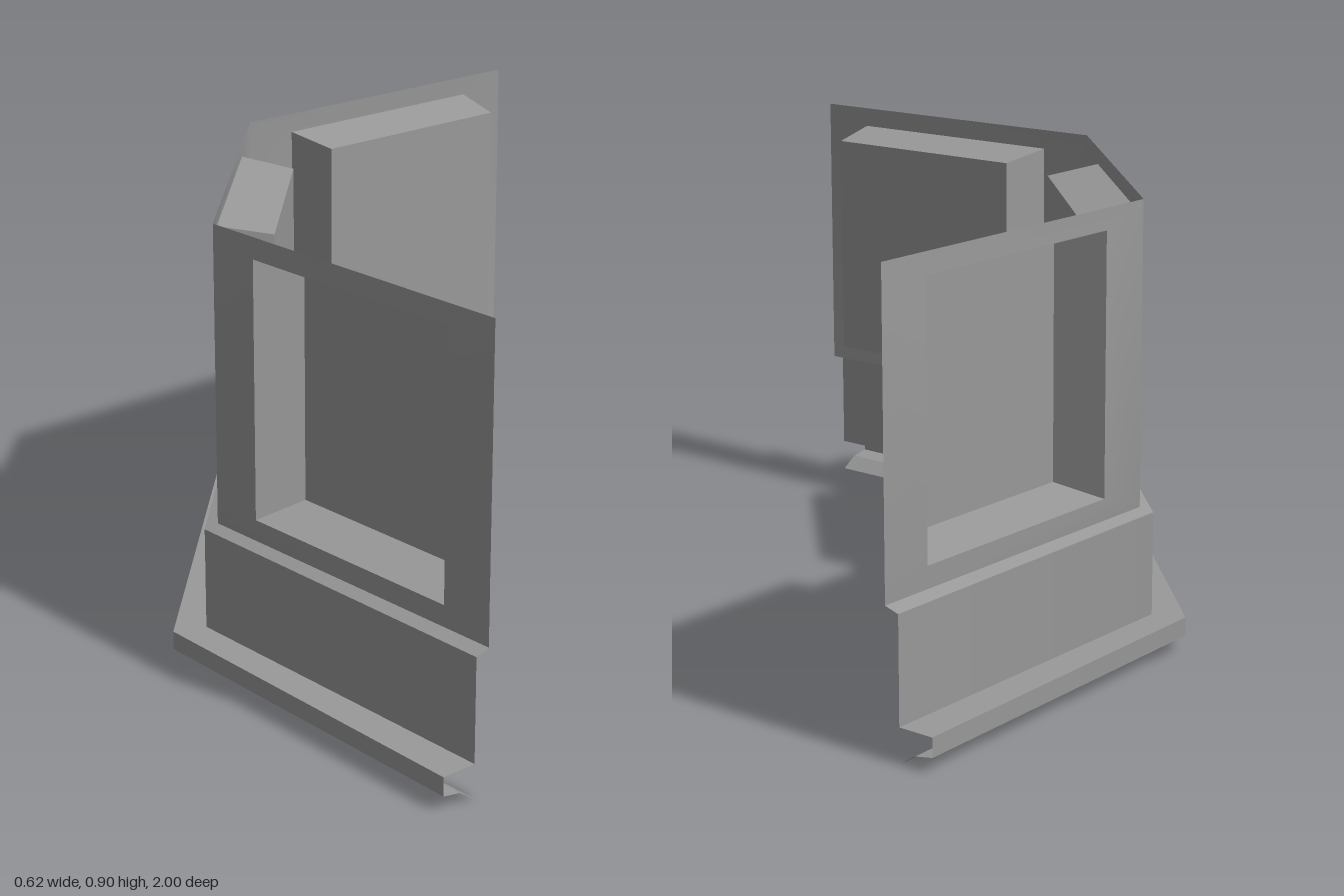
import * as THREE from 'three';

const material = new THREE.MeshStandardMaterial({ color: 0x999999, side: THREE.DoubleSide });

// Plan outline of the bay: four corners, pushed outward by d, at height y
function station(i, d, y) {
  const side = i < 2 ? 1 : -1;
  return i === 0 || i === 3
    ? new THREE.Vector3(0.308 - 0.85 * d, y, side * (0.928 + 0.85 * d))
    : new THREE.Vector3(-0.225 - d, y, side * (0.39 + 0.41 * d));
}

// Mesh from shared points and quads; each normal is the mean of its quads' normals
function sheet(name, points, quads) {
  const normals = points.map(() => new THREE.Vector3());
  for (const [a, b, c, d] of quads) {
    const across = points[d].clone().sub(points[b]);
    const normal = points[c].clone().sub(points[a]).cross(across).normalize();
    for (const k of [a, b, c, d]) normals[k].add(normal);
  }
  const geometry = new THREE.BufferGeometry().setFromPoints(points);
  geometry.setAttribute('normal', new THREE.Float32BufferAttribute(
    normals.flatMap((n) => n.normalize().toArray()), 3));
  geometry.setIndex(quads.flatMap(([a, b, c, d]) => [a, b, c, a, c, d]));
  const mesh = new THREE.Mesh(geometry, material);
  mesh.name = name;
  return mesh;
}

// Horizontal strip following the bay between two profile points [d, y]
function strip(name, [d0, y0], [d1, y1]) {
  const points = [], quads = [];
  for (let i = 0; i < 4; i++) {
    points.push(station(i, d0, y0), station(i, d1, y1));
    if (i < 3) quads.push([2 * i, 2 * i + 2, 2 * i + 3, 2 * i + 1]);
  }
  return sheet(name, points, quads);
}

export function createModel() {
  const group = new THREE.Group();
  group.name = 'bayWall';

  const wall = -0.003, top = 0.896, bottom = 0.287;
  const hole = { half: 0.262, low: 0.332, high: 0.854 };
  const face = { half: 0.244, low: 0.35, high: 0.834 };
  const depth = 0.11;

  // Four corners of a rectangle standing on a panel
  const rectangle = (centre, along, { half, low, high }) =>
    [[-half, high], [half, high], [half, low], [-half, low]].map(([s, y]) =>
      centre.clone().addScaledVector(along, s).setY(y));

  // Upper wall: three panels framing the window openings
  const wallPoints = [], wallQuads = [];
  for (let i = 0; i < 4; i++) wallPoints.push(station(i, wall, top), station(i, wall, bottom));

  // Per panel: opening position along the panel and its outward offset
  [[0.493, 0], [0.5, 0.003], [0.507, 0]].forEach(([t, offset], i) => {
    const a = station(i, offset, 0), b = station(i + 1, offset, 0);
    const along = b.clone().sub(a).normalize();
    const inward = new THREE.Vector3(-along.z, 0, along.x);
    const centre = a.clone().lerp(b, t);
    const opening = rectangle(centre, along, hole);
    const back = rectangle(centre.clone().addScaledVector(inward, depth), along, face);

    const first = wallPoints.length;
    wallPoints.push(...opening);
    const outer = [2 * i, 2 * i + 2, 2 * i + 3, 2 * i + 1];

    // Tapered window box, open to the outside, with sharp edges
    const boxPoints = [...back], boxQuads = [[0, 1, 2, 3]];
    for (let k = 0; k < 4; k++) {
      const n = (k + 1) % 4, m = boxPoints.length;
      wallQuads.push([outer[k], outer[n], first + n, first + k]);
      boxPoints.push(opening[k], opening[n], back[n], back[k]);
      boxQuads.push([m, m + 1, m + 2, m + 3]);
    }
    group.add(sheet('windowBox', boxPoints, boxQuads));
  });
  group.add(sheet('upperWall', wallPoints, wallQuads));

  // Lower mouldings, from the wall foot down to the ground
  const profile = [[wall, bottom], [0.022, 0.278], [0.022, 0.069], [0.085, 0.069],
    [0.085, 0.031], [0.052, 0.024], [0.022, 0]];
  const names = ['wallStep', 'lowerBand', 'ledgeTop', 'ledgeEdge', 'ledgeUnderside', 'footSlope'];
  names.forEach((name, i) => group.add(strip(name, profile[i], profile[i + 1])));

  return group;
}
